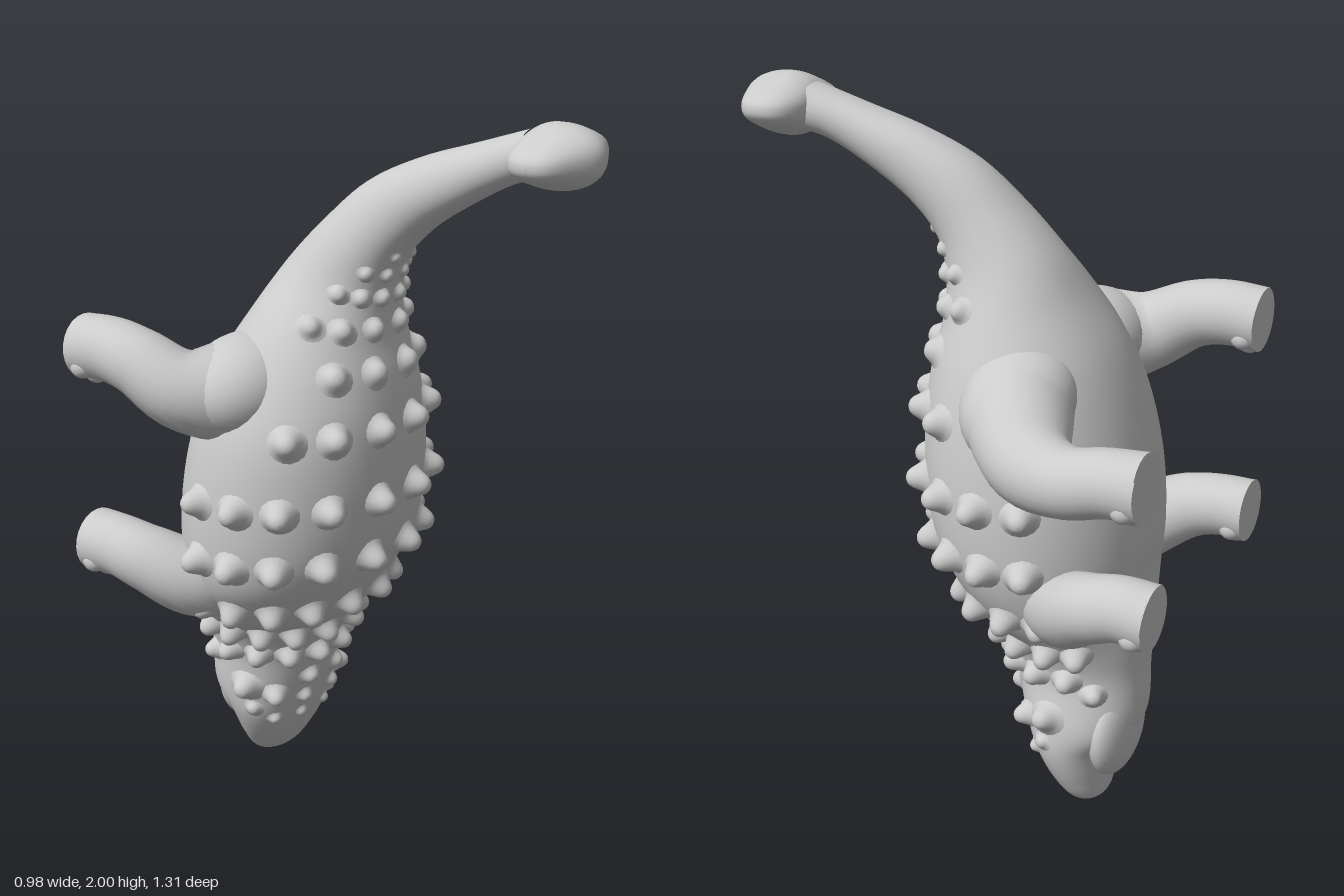
import * as THREE from 'three';

const material = new THREE.MeshStandardMaterial({ color: 0xcccccc });

// Body cross-sections, snout to tail: centre x, half width, back z, back y, belly z, belly y
const SECTIONS = [
  [0.06, 0.01, -0.375, 0.005, -0.385, 0.005],
  [0.06, 0.078, -0.32, 0.022, -0.425, 0.022],
  [0.05, 0.142, -0.26, 0.10, -0.437, 0.11],
  [0.04, 0.18, -0.21, 0.20, -0.452, 0.185],
  [0.03, 0.19, -0.17, 0.30, -0.508, 0.26],
  [0.01, 0.185, -0.13, 0.42, -0.51, 0.42],
  [0, 0.22, -0.09, 0.51, -0.51, 0.51],
  [-0.01, 0.29, -0.015, 0.60, -0.50, 0.60],
  [-0.02, 0.35, 0.05, 0.70, -0.495, 0.70],
  [-0.02, 0.375, 0.10, 0.80, -0.50, 0.80],
  [-0.02, 0.38, 0.13, 0.98, -0.485, 0.98],
  [-0.02, 0.355, 0.13, 1.16, -0.44, 1.17],
  [-0.01, 0.30, 0.11, 1.30, -0.38, 1.33],
  [0, 0.235, 0.085, 1.40, -0.295, 1.47],
  [0.02, 0.167, 0.08, 1.50, -0.22, 1.59],
  [0.03, 0.13, 0.105, 1.60, -0.115, 1.705],
  [0.05, 0.105, 0.18, 1.69, 0, 1.81],
  [0.07, 0.088, 0.31, 1.78, 0.14, 1.88],
  [0.09, 0.075, 0.41, 1.835, 0.31, 1.935],
  [0.11, 0.075, 0.47, 1.855, 0.45, 1.98],
];
const LAST = SECTIONS.length - 1;
const backCurve = new THREE.CatmullRomCurve3(SECTIONS.map(s => new THREE.Vector3(s[0], s[3], s[2])));
const bellyCurve = new THREE.CatmullRomCurve3(SECTIONS.map(s => new THREE.Vector3(s[1], s[5], s[4])));

// Point on the skin at section number s and angle a (0 = middle of the back, +90 degrees = +x flank)
function skin(s, a) {
  const b = backCurve.getPoint(s / LAST), v = bellyCurve.getPoint(s / LAST);
  const c = Math.cos(a), n = Math.sin(a);
  const side = Math.sign(n) * Math.abs(n) ** 0.92;
  return new THREE.Vector3(
    b.x + v.x * side,
    (b.y + v.y) / 2 + (b.y - v.y) / 2 * c,
    (b.z + v.z) / 2 + (b.z - v.z) / 2 * c);
}

function skinNormal(s, a) {
  const around = skin(s, a + 0.02).sub(skin(s, a - 0.02));
  const along = skin(s + 0.05, a).sub(skin(s - 0.05, a));
  return around.cross(along).normalize();
}

function bodyGeometry(rings = 114, sides = 48) {
  const pos = [], index = [];
  for (let i = 0; i <= rings; i++)
    for (let j = 0; j < sides; j++)
      pos.push(...skin(i / rings * LAST, j / sides * Math.PI * 2).toArray());
  for (let i = 0; i < rings; i++)
    for (let j = 0; j < sides; j++) {
      const a = i * sides + j, b = i * sides + (j + 1) % sides;
      index.push(a, b, a + sides, b, b + sides, a + sides);
    }
  const g = new THREE.BufferGeometry();
  g.setAttribute('position', new THREE.Float32BufferAttribute(pos, 3));
  g.setIndex(index);
  g.computeVertexNormals();
  return g;
}

// Tail club: two blunt side lobes with a ridge and a nose in the middle
function clubGeometry() {
  const g = new THREE.SphereGeometry(1, 48, 32);
  const p = g.attributes.position;
  for (let i = 0; i < p.count; i++) {
    const x = p.getX(i), y = p.getY(i), z = p.getZ(i);
    const square = Math.hypot(x, z) / Math.max(1e-6, (Math.abs(x) ** 2.6 + Math.abs(z) ** 2.6) ** (1 / 2.6));
    const ridge = Math.exp(-((x / 0.45) ** 2));
    const thick = Math.sign(y) * Math.abs(y) ** 0.85 * (0.06 + 0.025 * ridge);
    p.setXYZ(i, 0.162 * x * square, thick, 0.095 * z * square + 0.035 * ridge * Math.max(z, 0));
  }
  g.computeVertexNormals();
  return g;
}

function add(parent, name, geometry, position) {
  const m = new THREE.Mesh(geometry, material);
  m.name = name;
  if (position) m.position.set(...position);
  parent.add(m);
  return m;
}

const ball = new THREE.SphereGeometry(1, 32, 22);
function blob(parent, name, position, radii, roll = 0) {
  const m = add(parent, name, ball, position);
  m.scale.set(...radii);
  m.rotation.z = roll;
}

// Blunt armour spike whose foot flares into the skin
const spikeGeometry = new THREE.LatheGeometry(
  new THREE.SplineCurve([[1.6, -0.2], [1.2, 0.08], [0.95, 0.4], [0.7, 0.75], [0.4, 0.98], [0, 1.06]]
    .map(p => new THREE.Vector2(...p))).getPoints(12), 16);
function spike(parent, name, s, degrees, radius, height) {
  const a = THREE.MathUtils.degToRad(degrees);
  const m = add(parent, name, spikeGeometry, skin(s, a).toArray());
  m.quaternion.setFromUnitVectors(new THREE.Vector3(0, 1, 0), skinNormal(s, a));
  m.scale.set(radius, height, radius);
}

// Leg: tapered tube along a path of [x, y, z, radius], flat sole, toes on the head side
function leg(name, path) {
  const g = new THREE.Group();
  g.name = name;
  const curve = new THREE.CatmullRomCurve3(path.map(p => new THREE.Vector3(p[0], p[1], p[2])));
  const radii = new THREE.CatmullRomCurve3(path.map(p => new THREE.Vector3(p[3], p[2], 0)));
  const rings = 28, sides = 24;
  const tube = new THREE.TubeGeometry(curve, rings, 1, sides);
  const pos = tube.attributes.position, v = new THREE.Vector3();
  for (let i = 0; i <= rings; i++) {
    const c = curve.getPointAt(i / rings);
    const r = radii.getPoint(curve.getUtoTmapping(i / rings)).x;
    for (let j = 0; j <= sides; j++) {
      const k = i * (sides + 1) + j;
      v.fromBufferAttribute(pos, k).sub(c).multiplyScalar(r).add(c);
      pos.setXYZ(k, v.x, v.y, v.z);
    }
  }
  add(g, 'limb', tube);
  const [x, y, z, r] = path[path.length - 1];
  add(g, 'sole', new THREE.CircleGeometry(r, sides), [x, y, z]).rotation.y = Math.PI;
  for (const d of [-52, 0, 52]) {
    const a = THREE.MathUtils.degToRad(d);
    blob(g, 'toe', [x + Math.sin(a) * r * 0.75, y - Math.cos(a) * r * 0.75, z + 0.035], [0.033, 0.033, 0.035]);
  }
  return g;
}

export function createModel() {
  const model = new THREE.Group();
  model.name = 'armouredDinosaur';
  add(model, 'body', bodyGeometry());
  add(model, 'tailClub', clubGeometry(), [0.11, 1.918, 0.525]).rotation.z = 0.06;

  // Head details
  blob(model, 'lowerJaw', [0.05, 0.245, -0.445], [0.145, 0.15, 0.062]);
  for (const side of [-1, 1]) {
    spike(model, 'cheekHorn', 4.2, side * 78, 0.036, 0.045);
    spike(model, 'browHorn', 3.9, side * 48, 0.03, 0.04);
    spike(model, 'cheekBump', 4.8, side * 122, 0.028, 0.035);
    spike(model, 'eye', 3.4, side * 72, 0.02, 0.016);
  }

  // Armour rows: section number, spike radius, height, angles either side of the spine
  const armour = new THREE.Group();
  armour.name = 'armour';
  model.add(armour);
  const rows = [
    [2.9, 0.018, 0.016, [16, 48]],
    [3.6, 0.022, 0.022, [18]],
    [4.3, 0.026, 0.026, [17]],
    [5.1, 0.032, 0.042, [14, 42, 70, 98]],
    [6.1, 0.034, 0.046, [14, 40, 65, 90, 112]],
    [7.4, 0.036, 0.048, [11, 35, 58, 82, 104]],
    [9, 0.038, 0.052, [11, 36, 60, 83, 105]],
    [9.95, 0.038, 0.052, [11, 36, 60, 83, 107]],
    [11.05, 0.037, 0.046, [11, 36, 60]],
    [12.2, 0.034, 0.032, [13, 40]],
    [13.3, 0.028, 0.026, [14, 42, 68]],
    [14.1, 0.022, 0.02, [12, 36, 60]],
    [14.7, 0.018, 0.015, [14, 42]],
    [15.2, 0.015, 0.011, [16]],
  ];
  const turn = 2; // the armour sits slightly rolled towards +x
  for (const [s, radius, height, angles] of rows)
    for (const a of angles)
      for (const side of [-1, 1]) spike(armour, 'spike', s, side * a + turn, radius, height);

  // Hips swelling out of the flanks
  blob(model, 'leftHip', [0.22, 1.24, -0.215], [0.19, 0.14, 0.15], -0.5);
  blob(model, 'rightHip', [-0.23, 1.275, -0.215], [0.19, 0.14, 0.15], 0.1);

  // Legs, each in its own stride
  model.add(
    leg('leftHindLeg', [[0.1, 1.27, -0.19, 0.14], [0.24, 1.225, -0.225, 0.145], [0.355, 1.145, -0.315, 0.117],
      [0.395, 1.13, -0.43, 0.094], [0.4, 1.155, -0.55, 0.088], [0.4, 1.16, -0.65, 0.092]]),
    leg('rightHindLeg', [[-0.1, 1.27, -0.19, 0.14], [-0.25, 1.26, -0.225, 0.145], [-0.36, 1.27, -0.33, 0.112],
      [-0.39, 1.33, -0.45, 0.094], [-0.39, 1.35, -0.55, 0.09], [-0.39, 1.345, -0.65, 0.09]]),
    leg('leftFrontLeg', [[0.13, 0.7, -0.31, 0.13], [0.25, 0.695, -0.37, 0.112],
      [0.312, 0.745, -0.47, 0.094], [0.32, 0.77, -0.56, 0.088], [0.32, 0.765, -0.65, 0.09]]),
    leg('rightFrontLeg', [[-0.16, 0.7, -0.28, 0.13], [-0.31, 0.7, -0.35, 0.112],
      [-0.375, 0.75, -0.465, 0.095], [-0.385, 0.77, -0.56, 0.088], [-0.385, 0.77, -0.65, 0.09]]));
  return model;
}
